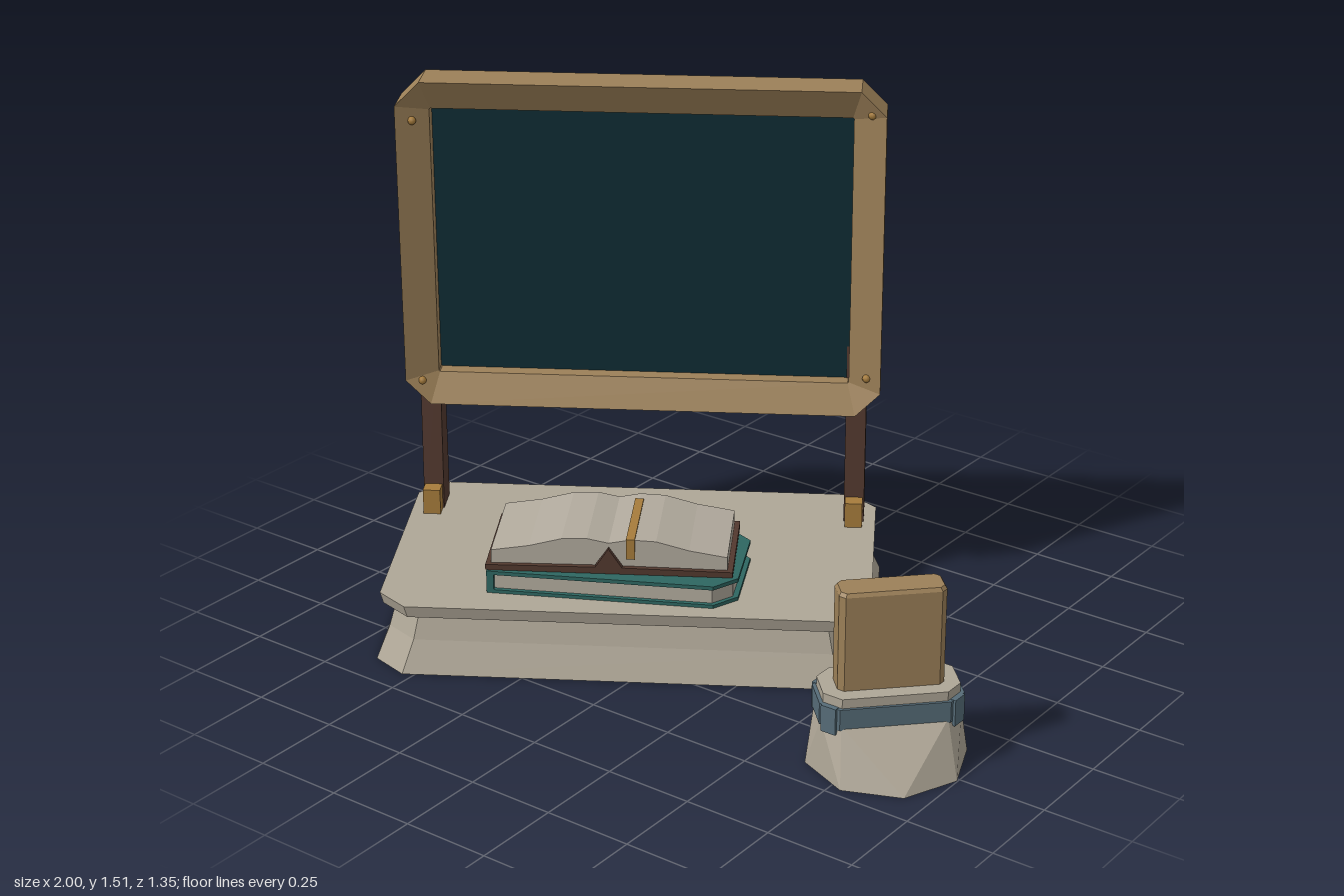
import * as THREE from 'three';
import { ConvexGeometry } from 'three/addons/geometries/ConvexGeometry.js';

const material = (name, color) => Object.assign(new THREE.MeshStandardMaterial({ color }), { name });

// Chamfered rectangle, counter-clockwise, at height t; the -x corners may have their own chamfer
function ring(w, h, c, t, cl = c) {
  const x = w / 2, y = h / 2;
  return [[x, -y + c], [x, y - c], [x - c, y], [-x + cl, y],
    [-x, y - cl], [-x, -y + cl], [-x + cl, -y], [x - c, -y]].map(p => [...p, t]);
}

// Flat-shaded skin through rings, along +z; capped unless the rings close on themselves
function loft(rings, capped = true) {
  const v = [], n = rings[0].length;
  const tri = (a, b, c) => v.push(...a, ...b, ...c);
  for (let i = 0; i < rings.length - 1; i++) {
    const lo = rings[i], hi = rings[i + 1];
    for (let j = 0; j < n; j++) {
      const k = (j + 1) % n;
      tri(lo[j], lo[k], hi[k]);
      tri(lo[j], hi[k], hi[j]);
    }
  }
  if (capped) {
    const lo = rings[0], hi = rings[rings.length - 1];
    for (let j = 1; j < n - 1; j++) {
      tri(hi[0], hi[j], hi[j + 1]);
      tri(lo[0], lo[j + 1], lo[j]);
    }
  }
  const g = new THREE.BufferGeometry();
  g.setAttribute('position', new THREE.Float32BufferAttribute(v, 3));
  g.computeVertexNormals();
  return g;
}

const upright = rings => loft(rings).rotateX(-Math.PI / 2);
const plate = (w, d, c, y0, y1, cl) => upright([ring(w, d, c, y0, cl), ring(w, d, c, y1, cl)]);

// Profile in x and y, extruded through z about the centre
function slice(points, depth) {
  const shape = new THREE.Shape(points.map(p => new THREE.Vector2(...p)));
  return new THREE.ExtrudeGeometry(shape, { depth, bevelEnabled: false }).translate(0, 0, -depth / 2);
}

export function createModel() {
  const stone = material('stone', 0xaea696);
  const wood = material('oak wood', 0x9c8058);
  const darkWood = material('dark brown', 0x52392f);
  const slate = material('slate board', 0x0f2c33);
  const teal = material('teal cover', 0x2e6661);
  const paper = material('paper', 0xb1aa9d);
  const brass = material('brass', 0xa67c3c);
  const steel = material('blue grey', 0x566c78);

  const root = new THREE.Group();
  root.name = 'classroomDisplay';
  const group = (name, x, z, turn) => {
    const g = new THREE.Group();
    g.name = name;
    g.position.set(x, 0, z);
    g.rotation.y = turn;
    root.add(g);
    return g;
  };
  const add = (parent, name, geometry, mat, x = 0, y = 0, z = 0) => {
    const m = new THREE.Mesh(geometry, mat);
    m.name = name;
    m.position.set(x, y, z);
    parent.add(m);
    return m;
  };
  const box = (w, h, d) => new THREE.BoxGeometry(w, h, d);

  // Stepped stone plinth
  const stand = group('boardStand', -0.24, 0, 0.5585);
  add(stand, 'plinth', upright([ring(1.38, 0.84, 0.085, 0), ring(1.31, 0.77, 0.08, 0.09),
    ring(1.27, 0.73, 0.075, 0.165)]), stone);
  add(stand, 'plinthTop', upright([ring(1.335, 0.795, 0.08, 0.165), ring(1.35, 0.81, 0.08, 0.2)]), stone);

  // Framed board with bevels sloping in to the panel on both faces
  const board = new THREE.Group();
  board.name = 'board';
  board.position.set(0.005, 1.0325, -0.23);
  stand.add(board);
  const outer = z => ring(1.35, 0.955, 0.07, z);
  const inner = z => ring(1.17, 0.785, 0.003, z);
  add(board, 'boardFrame', loft([outer(-0.062), outer(0.062), inner(0.022), inner(-0.032), outer(-0.062)], false), wood);
  add(board, 'boardPanel', box(1.18, 0.79, 0.012), slate, 0, 0, -0.027);
  for (const [x, y] of [[-0.63, 0.363], [-0.63, -0.412], [0.635, 0.408], [0.635, -0.367]]) {
    add(board, 'frameStud', new THREE.SphereGeometry(0.012, 8, 6), brass, x, y, 0.045);
  }

  // Tapered posts, leaning back from the front, with foot blocks
  for (const side of [-1, 1]) {
    const post = slice([[0.325, 0.19], [0.325, 0.71], [0.305, 0.735], [0.25, 0.735], [0.225, 0.19]], 0.058);
    post.rotateY(Math.PI / 2);
    add(stand, 'post', post, darkWood, side * 0.612);
    add(stand, 'postFoot', box(0.05, 0.075, 0.05), brass, side * 0.612, 0.2375, -0.208);
  }

  // Closed book lying flat, spine at its right end
  const closed = group('closedBook', -0.18, 0.14, 0.48);
  add(closed, 'lowerCover', plate(0.69, 0.36, 0.06, 0.2, 0.21, 0.003), teal);
  add(closed, 'upperCover', plate(0.69, 0.36, 0.06, 0.255, 0.266, 0.003), teal);
  add(closed, 'pageBlock', plate(0.66, 0.335, 0.05, 0.21, 0.255, 0.003), paper);
  add(closed, 'spine', box(0.02, 0.066, 0.36), teal, -0.335, 0.233, 0);

  // Open book resting on top
  const open = new THREE.Group();
  open.name = 'openBook';
  open.position.set(-0.044, 0, 0.137);
  stand.add(open);
  add(open, 'openCover', slice([[-0.34, 0.268], [0.34, 0.268], [0.34, 0.284], [0.037, 0.287],
    [0, 0.343], [-0.037, 0.287], [-0.34, 0.284]], 0.325), darkWood);
  const half = [[0.038, 0.288], [0.325, 0.285], [0.325, 0.323], [0.22, 0.34], [0.13, 0.364], [0.06, 0.367]];
  const mirrored = half.map(([x, y]) => [-x, y]).reverse();
  add(open, 'openPages', slice([[0, 0.344], ...half, [0, 0.355], ...mirrored], 0.3), paper);
  add(open, 'bookmark', box(0.024, 0.006, 0.265), brass, 0.06, 0.368, 0.024);
  add(open, 'bookmarkTail', box(0.024, 0.06, 0.006), brass, 0.06, 0.341, 0.154);

  // Separate award: flared eight-sided foot, metal band and upright plaque
  const award = group('award', 0.782, 0.26, Math.PI / 4);
  const foot = [];
  for (let i = 0; i < 8; i++) {
    const a = i * Math.PI / 4;
    foot.push(new THREE.Vector3(0.216 * Math.cos(a), 0, 0.216 * Math.sin(a)));
  }
  for (const [x, z] of ring(0.37, 0.18, 0.045, 0)) foot.push(new THREE.Vector3(x, 0.15, z));
  add(award, 'awardFoot', new ConvexGeometry(foot), stone);
  add(award, 'awardBand', plate(0.38, 0.19, 0.045, 0.14, 0.2), steel);
  add(award, 'awardLedge', plate(0.36, 0.175, 0.042, 0.195, 0.226), stone);
  for (const sx of [-1, 1]) for (const sz of [-1, 1]) {
    const clip = add(award, 'bandClip', box(0.045, 0.075, 0.016), steel, sx * 0.167, 0.164, sz * 0.072);
    clip.rotation.y = sx * sz * Math.PI / 4;
  }
  add(award, 'plaque', upright([ring(0.28, 0.09, 0.015, 0.225), ring(0.28, 0.09, 0.015, 0.492),
    ring(0.268, 0.078, 0.013, 0.502)]), wood);

  return root;
}
